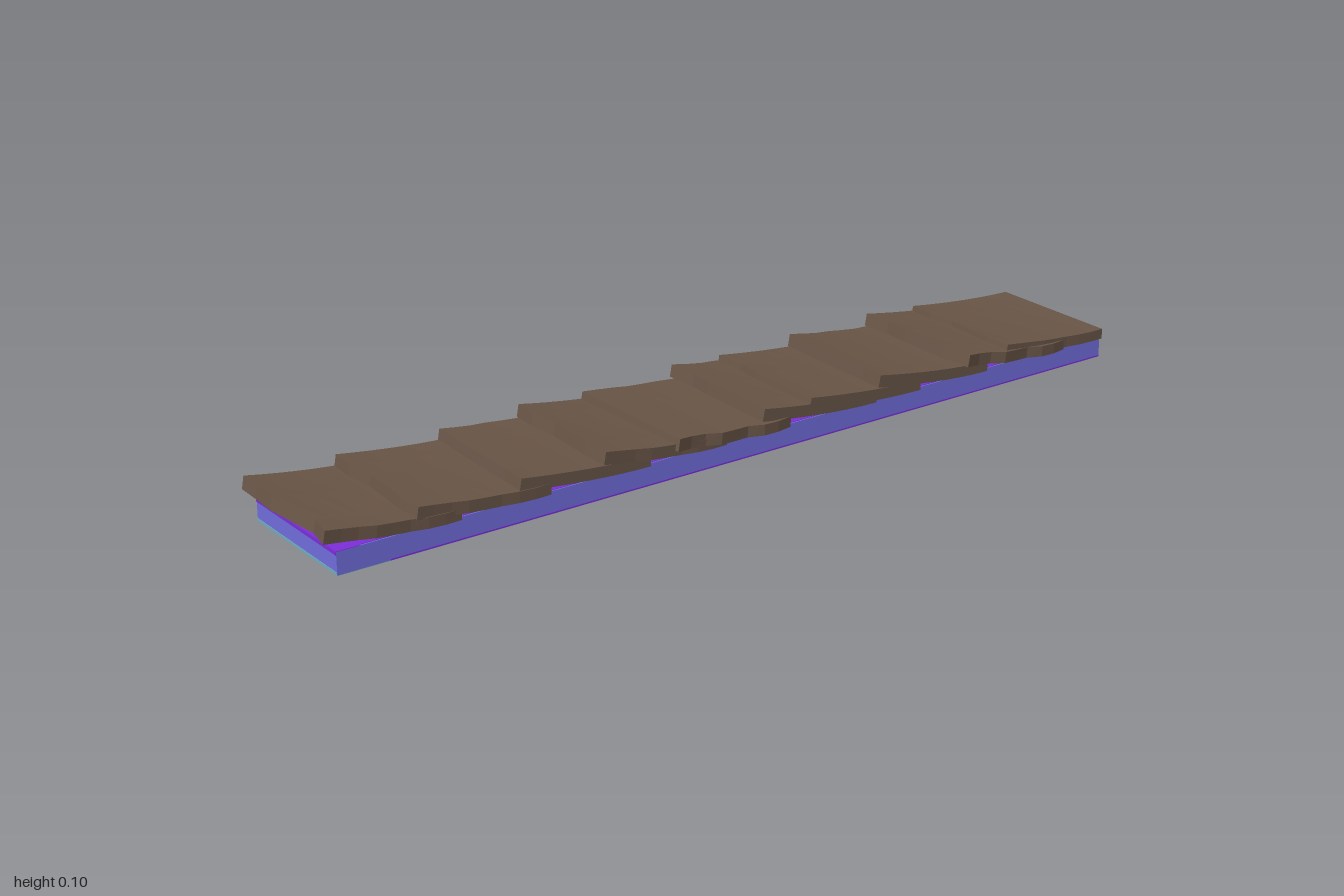
import * as THREE from 'three';

const mat = (name, color) => {
  const m = new THREE.MeshStandardMaterial({ color });
  m.name = name;
  m.flatShading = true;
  return m;
};

// Rows of shingles: front lip z, lip top y, edge shape, right and left side bulge
const ROWS = [
  [0.994, 0.104, 'notch', 0, 0.004], [0.79, 0.098, 'bump', 0, 0.003],
  [0.552, 0.094, 'rise', 0.004, 0], [0.362, 0.104, 'bump', 0, 0.003],
  [0.196, 0.094, 'fall', -0.004, 0.011], [-0.036, 0.1, 'dip', 0.006, 0],
  [-0.159, 0.096, 'dip', 0, 0], [-0.352, 0.102, 'rise', 0.005, 0],
  [-0.582, 0.101, 'step', 0, 0.011], [-0.709, 0.094, 'bump', 0, 0.002],
];

// Worn front edges: z offset at each station across the width
const EDGES = {
  notch: [-0.006, -0.004, 0, -0.02, -0.004],
  bump: [-0.004, 0.001, -0.009, 0.002, 0],
  rise: [-0.006, -0.003, 0, 0.003, 0.006],
  fall: [0.006, 0.003, 0, -0.005, -0.009],
  dip: [0, -0.009, 0, 0.001, 0],
  step: [0.007, -0.004, 0.001, 0.004, -0.008],
};
const STATIONS = [-0.163, -0.1, -0.035, 0.095, 0.157];

// A thin board, curled up towards its front lip
function shingle([lipZ, lipY, edge, bulgeR, bulgeL], backZ) {
  const geo = new THREE.BoxGeometry(1, 1, 1, 4, 1, 8);
  const p = geo.attributes.position;
  for (let i = 0; i < p.count; i++) {
    const s = Math.round((p.getX(i) + 0.5) * 4);
    const t = p.getZ(i) + 0.5;
    const isTop = p.getY(i) > 0;
    const wear = EDGES[edge][s];
    const wave = Math.sin(t * Math.PI * 2.5) ** 2;
    const x = STATIONS[s] + (s === 0 ? -bulgeR * wave : s === 4 ? bulgeL * wave : 0);
    const top = 0.068 + (lipY - 0.068 + wear * 0.3) * Math.pow(t, 1.6);
    const lean = isTop ? 0 : 0.005 * t;
    p.setXYZ(i, x, isTop ? top : top - 0.023 - 0.004 * t,
      backZ + t * (lipZ - backZ) + wear * t * t + lean);
  }
  geo.computeVertexNormals();
  return geo;
}

export function createModel() {
  const group = new THREE.Group();
  const blue = mat('blue', 0x7370e0);
  const purple = mat('purple', 0x7e2edc);
  const teal = mat('teal', 0x74aec2);
  const brown = mat('brown', 0x6b5748);

  // Box between two corners
  const slab = (name, material, x0, x1, y0, y1, z0, z1) => {
    const mesh = new THREE.Mesh(new THREE.BoxGeometry(x1 - x0, y1 - y0, z1 - z0), material);
    mesh.position.set((x0 + x1) / 2, (y0 + y1) / 2, (z0 + z1) / 2);
    mesh.name = name;
    group.add(mesh);
  };

  // Base beam
  const L = -0.162, R = 0.151, B = -0.999, F = 0.964, E = 0.001;
  slab('base', blue, L, R, E, 0.049, B, F);

  // Painted strips on the underside and top
  slab('undersideTealStrip', teal, 0.1, R, 0, E, B, F);
  slab('undersidePurpleStrip', purple, L, -0.085, 0, E, B, F);
  slab('topTealStrip', teal, L, -0.11, 0.049, 0.05, B, F - 0.05);
  slab('topPurpleStrip', purple, 0.072, R - 0.003, 0.049, 0.05, B, F - 0.05);
  slab('topFrontPurpleStrip', purple, L, R, 0.049, 0.05, F - 0.05, F);

  // Painted strips on the ends and one side
  slab('frontPurpleStrip', purple, L, R, 0.042, 0.049, F, F + E);
  slab('frontTealStrip', teal, L, R, E, 0.007, F, F + E);
  slab('leftPurpleStrip', purple, R, R + E, E, 0.004, B, 0.85);
  slab('backTealStrip', teal, L, R, 0.046, 0.049, B - E, B);

  // Overlapping shingles
  ROWS.forEach((row) => {
    const mesh = new THREE.Mesh(shingle(row, Math.max(-1, row[0] - 0.3)), brown);
    mesh.name = 'shingle';
    group.add(mesh);
  });
  return group;
}
